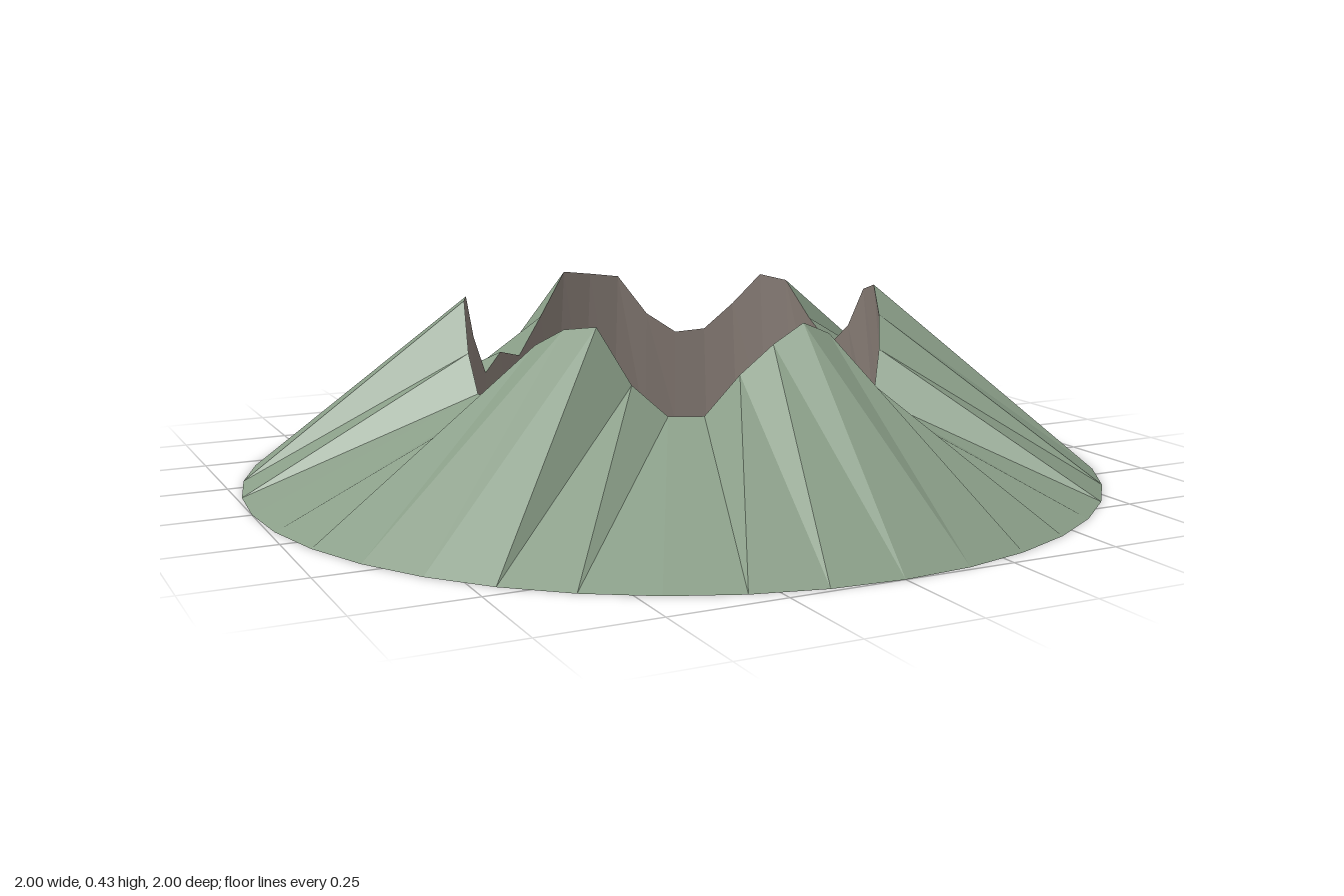
import * as THREE from 'three';

// Rim heights in 9 degree steps, from the front (+z) round through +x
const rim = [
  0.37, 0.41, 0.38, 0.30, 0.22, 0.20, 0.30, 0.37, 0.43, 0.41,
  0.31, 0.25, 0.31, 0.40, 0.41, 0.33, 0.26, 0.25, 0.30, 0.40,
  0.41, 0.42, 0.31, 0.22, 0.24, 0.20, 0.30, 0.41, 0.41, 0.30,
  0.22, 0.22, 0.25, 0.36, 0.40, 0.41, 0.29, 0.225, 0.225, 0.31,
];
const RIM_RADIUS = 0.485;

function makeMaterial(name, color) {
  const material = new THREE.MeshStandardMaterial({ color, flatShading: true, side: THREE.DoubleSide });
  material.name = name;
  return material;
}

// Open band from the ground up to the jagged rim
function rimBand(bottomRadius) {
  const n = rim.length;
  const geometry = new THREE.CylinderGeometry(RIM_RADIUS, bottomRadius, 1, n, 1, true);
  const position = geometry.attributes.position;
  for (let i = 0; i <= n; i++) {
    position.setY(i, rim[i % n]);
    position.setY(i + n + 1, 0);
  }
  const faceted = geometry.toNonIndexed();
  faceted.computeVertexNormals();
  return faceted;
}

export function createModel() {
  const model = new THREE.Group();
  model.name = 'craterLake';

  function add(name, geometry, material) {
    const mesh = new THREE.Mesh(geometry, material);
    mesh.name = name;
    model.add(mesh);
    return mesh;
  }

  // Outer mountain slope
  add('outerSlope', rimBand(1), makeMaterial('mossGreen', 0x8a9e88));

  // Steep rock wall inside the crater
  add('craterWall', rimBand(0.53), makeMaterial('rockBrown', 0x8a7f78));

  // Flat water surface, just clear of the wall
  const lake = add('lake', new THREE.CircleGeometry(0.475, 48), makeMaterial('waterBlue', 0x6c9cba));
  lake.rotation.x = -Math.PI / 2;
  lake.position.y = 0.012;

  return model;
}
